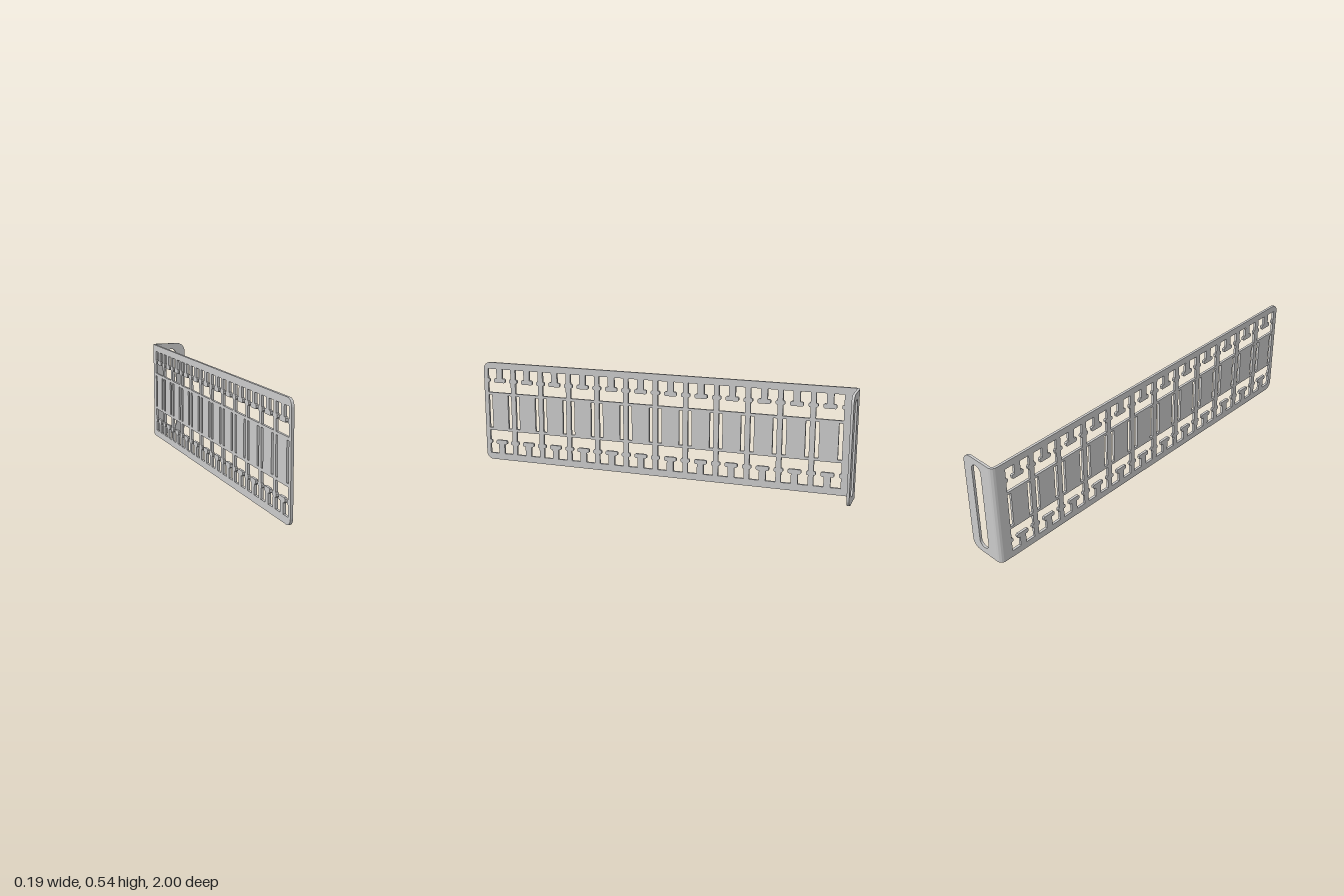
import * as THREE from 'three';
import { toCreasedNormals } from 'three/addons/utils/BufferGeometryUtils.js';

const H = 0.535, T = 0.0125, X = 0.096, R = 0.027; // height, sheet thickness, half width, outer bend radius
const CELLS = 12, FIRST = -0.909, PITCH = 0.161;   // perforation cells along the plate

const material = new THREE.MeshStandardMaterial({ color: 0xcccccc });

function sheet(name, shape, depth) {
  const raw = new THREE.ExtrudeGeometry(shape, { depth, bevelEnabled: false, curveSegments: 10 });
  const mesh = new THREE.Mesh(toCreasedNormals(raw, 0.6), material);
  mesh.name = name;
  return mesh;
}

const polygon = (pts) => new THREE.Path(pts.map(([x, y]) => new THREE.Vector2(x, y)));

// Rectangle whose two corners on the right-hand side are rounded
function tabShape(x0, x1, r) {
  const s = new THREE.Shape();
  s.moveTo(x0, 0);
  s.lineTo(x1 - r, 0);
  s.absarc(x1 - r, r, r, -Math.PI / 2, 0, false);
  s.lineTo(x1, H - r);
  s.absarc(x1 - r, H - r, r, 0, Math.PI / 2, false);
  s.lineTo(x0, H);
  s.closePath();
  return s;
}

// Opening around a T-shaped tie tab; right half of the outline, then mirrored
function tieOpening(cx, flip) {
  const half = [
    [0.067, 0.372], [0.067, 0.427], [0.062, 0.427], [0.057, 0.432], [0.057, 0.443],
    [0.062, 0.448], [0.067, 0.448], [0.067, 0.5], [0.017, 0.5], [0.017, 0.449],
    [0.026, 0.449], [0.033, 0.444], [0.033, 0.431], [0.027, 0.426],
  ];
  const outline = [...half, ...half.map(([x, y]) => [-x, y]).reverse()];
  return polygon(outline.map(([x, y]) => [cx + x, flip ? H - y : y]));
}

function slot(cx, offset) {
  const x0 = cx + offset - 0.01, x1 = cx + offset + 0.01;
  return polygon([[x0, 0.177], [x1, 0.177], [x1, 0.358], [x0, 0.358]]);
}

export function createModel() {
  const group = new THREE.Group();
  group.name = 'cableLacingBracket';

  // Long perforated plate, drawn with its free end on the right
  const plateShape = tabShape(-(1 - R), 1, 0.038);
  for (let i = 0; i < CELLS; i++) {
    const cx = -(FIRST + i * PITCH);
    plateShape.holes.push(
      tieOpening(cx, false), tieOpening(cx, true), slot(cx, -0.057), slot(cx, 0.057));
  }
  const plate = sheet('perforatedPlate', plateShape, T);
  plate.rotation.y = -Math.PI / 2; // free end towards +z
  plate.position.x = -X + T;
  group.add(plate);

  // Quarter-round bend joining plate and flange
  const bendShape = new THREE.Shape();
  bendShape.absarc(-X + R, 1 - R, R, Math.PI, Math.PI / 2, true);
  bendShape.absarc(-X + R, 1 - R, R - T, Math.PI / 2, Math.PI, false);
  bendShape.closePath();
  const bend = sheet('bend', bendShape, H);
  bend.rotation.x = -Math.PI / 2;
  group.add(bend);

  // Mounting flange with one long round-ended slot
  const flangeShape = tabShape(-X + R, X, 0.045);
  const mount = new THREE.Path();
  const r = 0.03, cx = 0.015;
  mount.absarc(cx, 0.033 + r, r, Math.PI, Math.PI * 2, false);
  mount.absarc(cx, 0.502 - r, r, 0, Math.PI, false);
  mount.closePath();
  flangeShape.holes.push(mount);
  const flange = sheet('mountingFlange', flangeShape, T);
  flange.position.z = -1;
  group.add(flange);

  return group;
}
